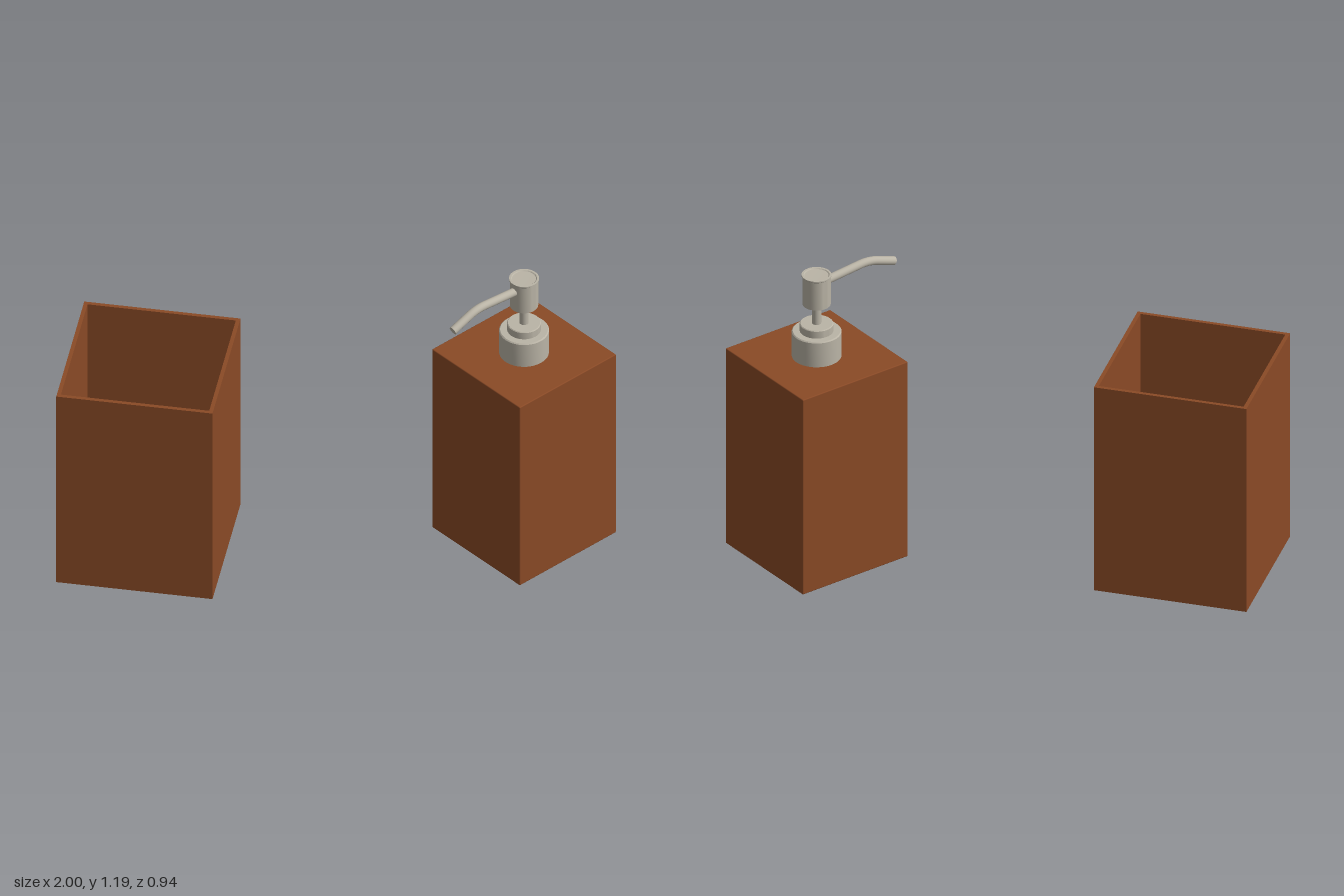
import * as THREE from 'three';
import { toCreasedNormals } from 'three/addons/utils/BufferGeometryUtils.js';
import { RoundedBoxGeometry } from 'three/addons/geometries/RoundedBoxGeometry.js';

const wood = new THREE.MeshStandardMaterial({ color: 0x8a4a26 });
wood.name = 'brown wood';
const metal = new THREE.MeshStandardMaterial({ color: 0xbab4a6 });
metal.name = 'brushed metal';

function add(parent, name, geometry, material, x = 0, y = 0, z = 0) {
  const mesh = new THREE.Mesh(geometry, material);
  mesh.name = name;
  mesh.position.set(x, y, z);
  parent.add(mesh);
  return mesh;
}

// Turned part with crisp edges; profile runs up the outside as [radius, height]
function turned(profile) {
  const points = profile.map(([r, y]) => new THREE.Vector2(r, y));
  return toCreasedNormals(new THREE.LatheGeometry(points, 40), 0.6);
}

function square(Type, half) {
  const s = new Type();
  s.moveTo(-half, -half);
  s.lineTo(half, -half);
  s.lineTo(half, half);
  s.lineTo(-half, half);
  s.closePath();
  return s;
}

// Open square tumbler
function createTumbler() {
  const g = new THREE.Group();
  g.name = 'tumbler';
  const half = 0.295, wall = 0.015, height = 0.869;
  const outline = square(THREE.Shape, half);
  outline.holes.push(square(THREE.Path, half - wall));
  const walls = new THREE.ExtrudeGeometry(outline, { depth: height, bevelEnabled: false });
  walls.rotateX(-Math.PI / 2);
  add(g, 'tumblerWalls', walls, wood);
  const inner = 2 * (half - wall);
  add(g, 'tumblerFloor', new THREE.BoxGeometry(inner, 0.02, inner), wood, 0, 0.01, 0);
  g.position.set(-0.705, 0, 0.175);
  return g;
}

// Square bottle with a pump, its spout along local +z
function createDispenser() {
  const g = new THREE.Group();
  g.name = 'soapDispenser';
  add(g, 'bottle', new RoundedBoxGeometry(0.485, 0.834, 0.485, 2, 0.004), wood, 0, 0.43, 0);

  add(g, 'pumpCollar', turned([
    [0.093, 0.84], [0.093, 0.949], [0.089, 0.953], [0.063, 0.953],
    [0.063, 0.982], [0.060, 0.985], [0, 0.985],
  ]), metal);
  add(g, 'pumpStem', new THREE.CylinderGeometry(0.0175, 0.0175, 0.19, 24), metal, 0, 1.075, 0);

  // Head is hollow underneath, with a thin lip around a shallow dished top
  add(g, 'pumpHead', turned([
    [0, 1.165], [0.046, 1.165], [0.046, 1.067], [0.053, 1.067], [0.053, 1.184],
    [0.056, 1.187], [0.056, 1.192], [0.048, 1.192], [0.045, 1.189], [0, 1.188],
  ]), metal);

  // Bent spout with a closed tip
  const v = (y, z) => new THREE.Vector3(0, y, z);
  const path = new THREE.CurvePath();
  path.add(new THREE.LineCurve3(v(1.152, 0.045), v(1.166, 0.195)));
  path.add(new THREE.QuadraticBezierCurve3(v(1.166, 0.195), v(1.171, 0.24), v(1.156, 0.28)));
  path.add(new THREE.LineCurve3(v(1.156, 0.28), v(1.129, 0.358)));
  add(g, 'spout', new THREE.TubeGeometry(path, 32, 0.0165, 16, false), metal);
  const tip = add(g, 'spoutTip', new THREE.CircleGeometry(0.0165, 16), metal, 0, 1.129, 0.358);
  tip.rotation.x = Math.atan2(0.027, 0.078);

  g.position.set(0.658, 0, -0.135);
  g.rotation.y = -0.654;
  return g;
}

export function createModel() {
  const model = new THREE.Group();
  model.name = 'bathroomSet';
  model.add(createTumbler(), createDispenser());
  return model;
}
